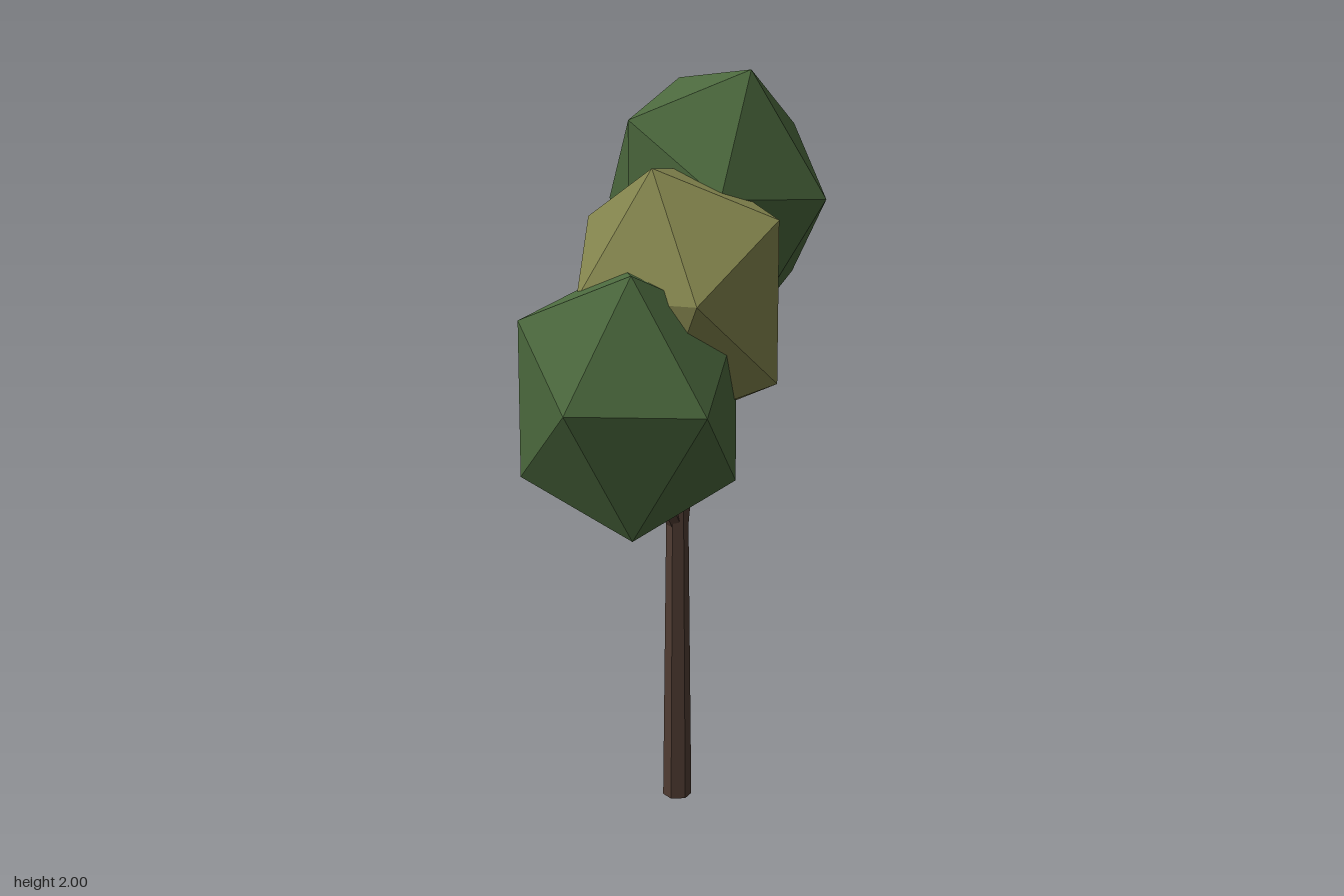
import * as THREE from 'three';

export function createModel() {
  const tree = new THREE.Group();
  tree.name = 'tree';

  const mat = (name, color) => {
    const m = new THREE.MeshStandardMaterial({ color, flatShading: true });
    m.name = name;
    return m;
  };
  const bark = mat('bark brown', 0x503c32);
  const green = mat('leaf green', 0x4b683d);
  const olive = mat('leaf olive', 0x84854e);

  const add = (name, geometry, material) => {
    const mesh = new THREE.Mesh(geometry, material);
    mesh.name = name;
    tree.add(mesh);
  };

  // Tapered six-sided limb between two points
  const limb = (name, from, to, r0, r1) => {
    const a = new THREE.Vector3(...from), b = new THREE.Vector3(...to);
    const dir = b.clone().sub(a);
    const g = new THREE.CylinderGeometry(r1, r0, dir.length(), 6);
    g.applyQuaternion(new THREE.Quaternion().setFromUnitVectors(
      new THREE.Vector3(0, 1, 0), dir.normalize()));
    const mid = a.add(b).multiplyScalar(0.5);
    g.translate(mid.x, mid.y, mid.z);
    add(name, g, bark);
  };
  limb('trunk', [0, 0, 0.005], [0, 0.86, 0.005], 0.04, 0.03);
  limb('rightBranch', [-0.005, 0.79, 0.005], [-0.14, 1.04, 0.03], 0.025, 0.016);
  limb('leftBranch', [0.005, 0.79, 0.005], [0.09, 1.2, -0.03], 0.027, 0.016);

  // Stretched icosahedron; u and w are its horizontal axes as [x, z]
  const crown = (name, material, centre, u, w) => {
    const m = new THREE.Matrix4().makeBasis(
      new THREE.Vector3(u[0], 0, u[1]),
      new THREE.Vector3(0, 0.394, 0),
      new THREE.Vector3(w[0], 0, w[1]));
    m.setPosition(...centre);
    const g = new THREE.IcosahedronGeometry(1, 0).applyMatrix4(m);
    g.computeVertexNormals();
    add(name, g, material);
  };
  crown('topCrown', green, [0.19, 1.665, -0.098], [-0.019, 0.347], [-0.3055, -0.032]);
  crown('middleCrown', olive, [0, 1.41, 0.0125], [-0.252, 0.136], [-0.115, -0.356]);
  crown('lowerCrown', green, [-0.1875, 1.15, 0.0475], [-0.157, 0.29], [-0.261, -0.209]);

  return tree;
}
